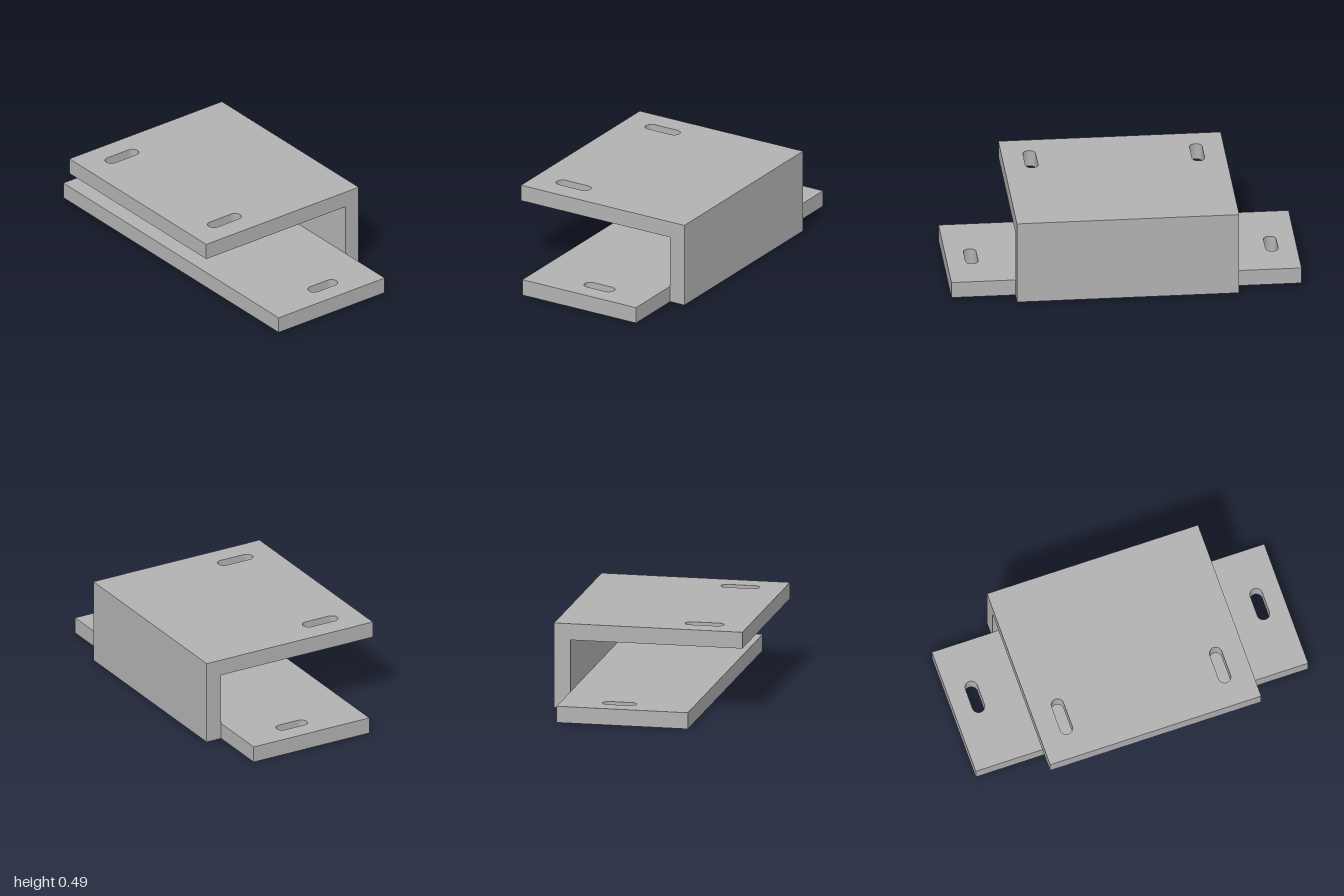
import * as THREE from 'three';

// Horizontal plate with rounded-end slots running along x
function slottedPlate(x0, x1, halfZ, y0, y1, slots) {
  const shape = new THREE.Shape();
  shape.moveTo(x0, -halfZ);
  shape.lineTo(x1, -halfZ);
  shape.lineTo(x1, halfZ);
  shape.lineTo(x0, halfZ);
  shape.closePath();
  for (const { x, z, length, width } of slots) {
    const r = width / 2;
    const h = length / 2 - r;
    const hole = new THREE.Path();
    hole.moveTo(x - h, z - r);
    hole.lineTo(x + h, z - r);
    hole.absarc(x + h, z, r, -Math.PI / 2, Math.PI / 2, false);
    hole.lineTo(x - h, z + r);
    hole.absarc(x - h, z, r, Math.PI / 2, Math.PI * 1.5, false);
    shape.holes.push(hole);
  }
  const geometry = new THREE.ExtrudeGeometry(shape, {
    depth: y1 - y0, bevelEnabled: false, curveSegments: 16,
  });
  geometry.rotateX(-Math.PI / 2);
  geometry.translate(0, y0, 0);
  return geometry;
}

export function createModel() {
  const group = new THREE.Group();
  group.name = 'mountingBracket';
  const grey = new THREE.MeshStandardMaterial({ color: 0xb2b2b2 });
  grey.name = 'plainGrey';

  const add = (name, geometry) => {
    const mesh = new THREE.Mesh(geometry, grey);
    mesh.name = name;
    group.add(mesh);
  };

  const thickness = 0.095;
  const halfX = 0.548;
  const halfZ = 0.635;
  const height = 0.493;
  const innerX = halfX - thickness;
  const pair = (x, z, length) => [-1, 1].map((s) => ({ x, z: s * z, length, width: 0.072 }));

  // Long base plate with a slot near each end
  add('basePlate', slottedPlate(-0.31, innerX, 1, 0, thickness, pair(0.118, 0.857, 0.196)));

  // Upper plate with two slots near its free edge
  add('topPlate', slottedPlate(-halfX, halfX, halfZ, height - thickness, height, pair(-0.294, 0.476, 0.224)));

  // Upright wall joining the two plates
  const wallHeight = height - thickness;
  const wall = new THREE.BoxGeometry(thickness, wallHeight, halfZ * 2);
  wall.translate(halfX - thickness / 2, wallHeight / 2, 0);
  add('sideWall', wall);

  return group;
}
